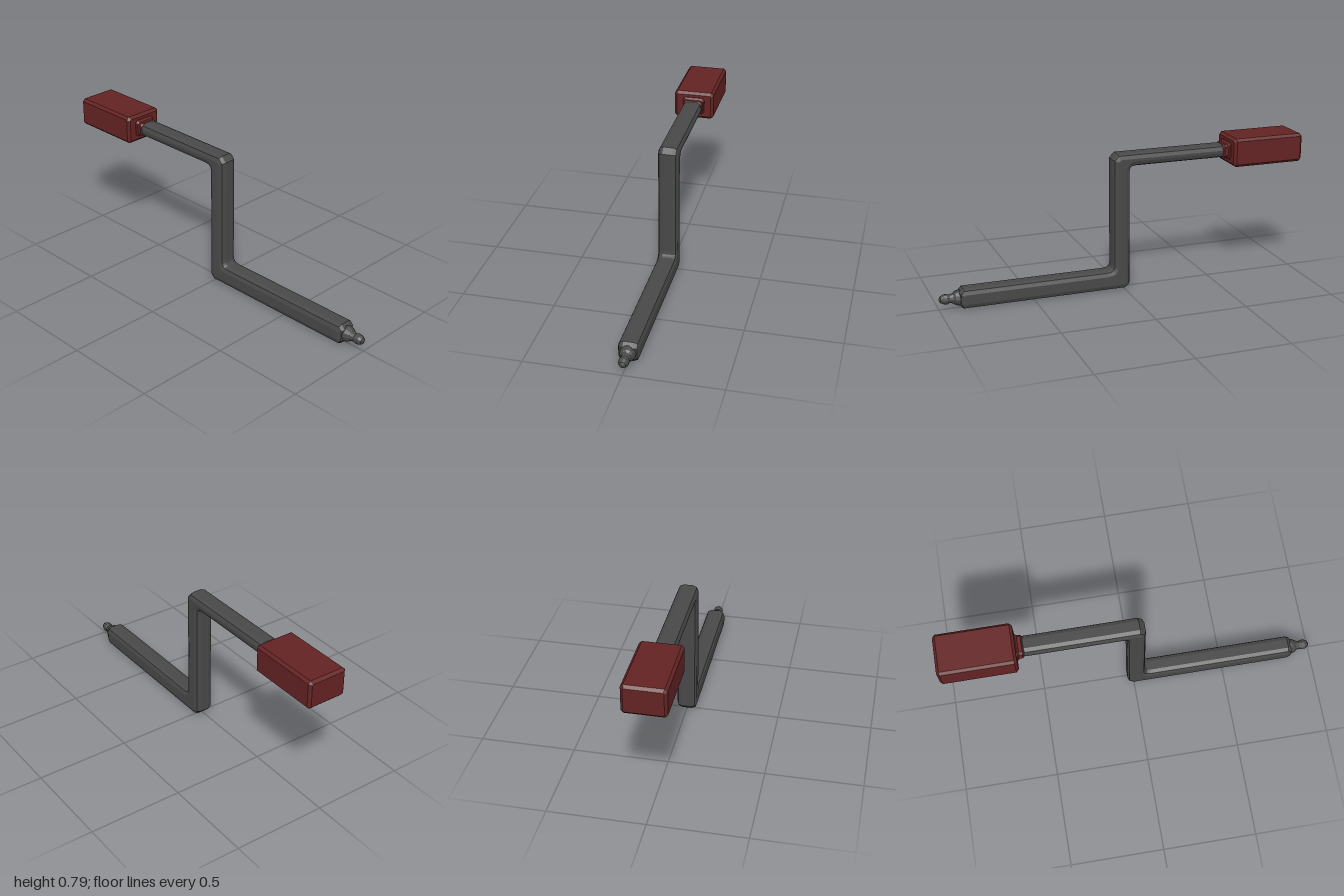
import * as THREE from 'three';

const BEVEL = 0.028;

// Closed outline from [u, v, cut, curved]: each corner is chamfered or filleted by cut
function outline(corners) {
  const shape = new THREE.Shape();
  const n = corners.length;
  const pts = corners.map(([u, v]) => new THREE.Vector2(u, v));
  pts.forEach((p, i) => {
    const [, , cut, curved] = corners[i];
    const toward = (q) => q.clone().sub(p).setLength(cut).add(p);
    const a = toward(pts[(i + n - 1) % n]);
    const b = toward(pts[(i + 1) % n]);
    if (i === 0) shape.moveTo(a.x, a.y);
    else shape.lineTo(a.x, a.y);
    if (curved) shape.quadraticCurveTo(p.x, p.y, b.x, b.y);
    else shape.lineTo(b.x, b.y);
  });
  shape.closePath();
  return shape;
}

// Box along z with chamfered edges: half width, y range, z range, chamfer
function chamferedBox(hw, y0, y1, z0, z1, c) {
  const i = c * 0.4; // corner cut of the inset outline
  const shape = outline([
    [-hw + c, y0 + c, i], [hw - c, y0 + c, i], [hw - c, y1 - c, i], [-hw + c, y1 - c, i],
  ]);
  const geo = new THREE.ExtrudeGeometry(shape, {
    depth: z1 - z0 - 2 * c, bevelSize: c, bevelThickness: c, bevelSegments: 1,
  });
  return geo.translate(0, 0, z0 + c);
}

export function createModel() {
  const model = new THREE.Group();
  model.name = 'crankHandle';
  const metal = new THREE.MeshStandardMaterial({ color: 0x484848 });
  metal.name = 'dark grey metal';
  metal.flatShading = true;
  const red = new THREE.MeshStandardMaterial({ color: 0x642323 });
  red.name = 'dark red grip';
  red.flatShading = true;

  const add = (name, geometry, material) => {
    const mesh = new THREE.Mesh(geometry, material);
    mesh.name = name;
    model.add(mesh);
    return mesh;
  };

  // Z-shaped rod: side profile (z, y) inset by the bevel, extruded across x
  const profile = outline([
    [-0.005, BEVEL, 0.01], [0.87, BEVEL, 0.006], [0.87, 0.08, 0.006],
    [0.035, 0.08, 0.06, true], [0.035, 0.717, 0.012],
    [-0.55, 0.717, 0.003], [-0.55, 0.703, 0.003], [-0.005, 0.703, 0.06, true],
  ]);
  const depth = 0.106 - 2 * BEVEL;
  const rod = new THREE.ExtrudeGeometry(profile, {
    depth, bevelSize: BEVEL, bevelThickness: BEVEL, bevelSegments: 2, curveSegments: 4,
  });
  rod.translate(0, 0, -depth / 2).rotateY(-Math.PI / 2);
  add('crankRod', rod, metal);

  // Turned tip at the front end of the lower bar
  const tipProfile = [
    [0, 0.88], [0.043, 0.88], [0.041, 0.9], [0.036, 0.915], [0.027, 0.925],
    [0.022, 0.945], [0.027, 0.957], [0.026, 0.975], [0.017, 0.992], [0, 1],
  ].map(([r, z]) => new THREE.Vector2(r, z));
  const tip = new THREE.LatheGeometry(tipProfile, 12).rotateX(Math.PI / 2);
  tip.translate(0, 0.054, 0);
  add('tip', tip, metal);

  // Grip with its stepped collar
  add('grip', chamferedBox(0.11, 0.632, 0.786, -1, -0.598, 0.014), red);
  add('collarFlange', chamferedBox(0.06, 0.664, 0.757, -0.63, -0.582, 0.012), red);
  add('collar', chamferedBox(0.054, 0.673, 0.747, -0.63, -0.555, 0.012), red);

  return model;
}
